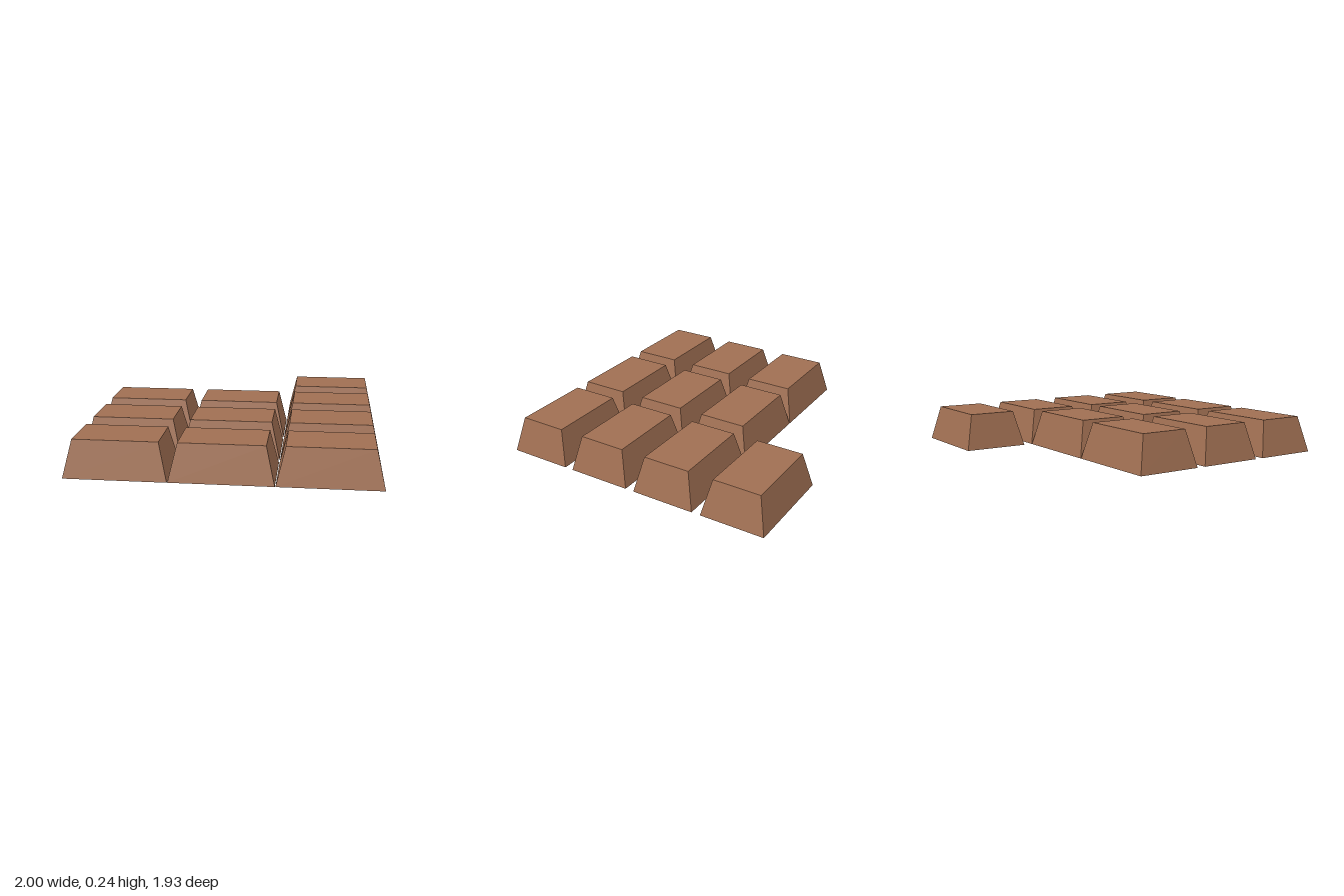
import * as THREE from 'three';

const WIDTH = 0.664, DEPTH = 0.438, HEIGHT = 0.243, INSET = 0.057;

// Hollow tapered block: a box with its top drawn in and its underside left open
function segmentGeometry() {
  const geometry = new THREE.BoxGeometry(WIDTH, HEIGHT, DEPTH);
  geometry.translate(0, HEIGHT / 2, 0);
  const p = geometry.attributes.position;
  for (let i = 0; i < p.count; i++) {
    if (p.getY(i) < HEIGHT / 2) continue;
    p.setX(i, p.getX(i) - Math.sign(p.getX(i)) * INSET);
    p.setZ(i, p.getZ(i) - Math.sign(p.getZ(i)) * INSET);
  }
  const index = Array.from(geometry.index.array);
  index.splice(18, 6); // bottom face
  geometry.setIndex(index);
  geometry.clearGroups();
  geometry.computeVertexNormals();
  return geometry;
}

export function createModel() {
  const model = new THREE.Group();
  model.name = 'chocolateBar';
  const chocolate = new THREE.MeshStandardMaterial({ color: 0xa06f52, side: THREE.DoubleSide });
  chocolate.name = 'milkChocolate';
  const geometry = segmentGeometry();

  // Four rows from back to front; only one segment is left in the back row
  for (let row = 0; row < 4; row++) {
    for (let column = row === 0 ? 2 : 0; column < 3; column++) {
      const segment = new THREE.Mesh(geometry, chocolate);
      segment.name = `segmentRow${row + 1}Column${column + 1}`;
      segment.position.set((column - 1) * 0.668, 0, (row - 1.5) * 0.499);
      model.add(segment);
    }
  }
  return model;
}
